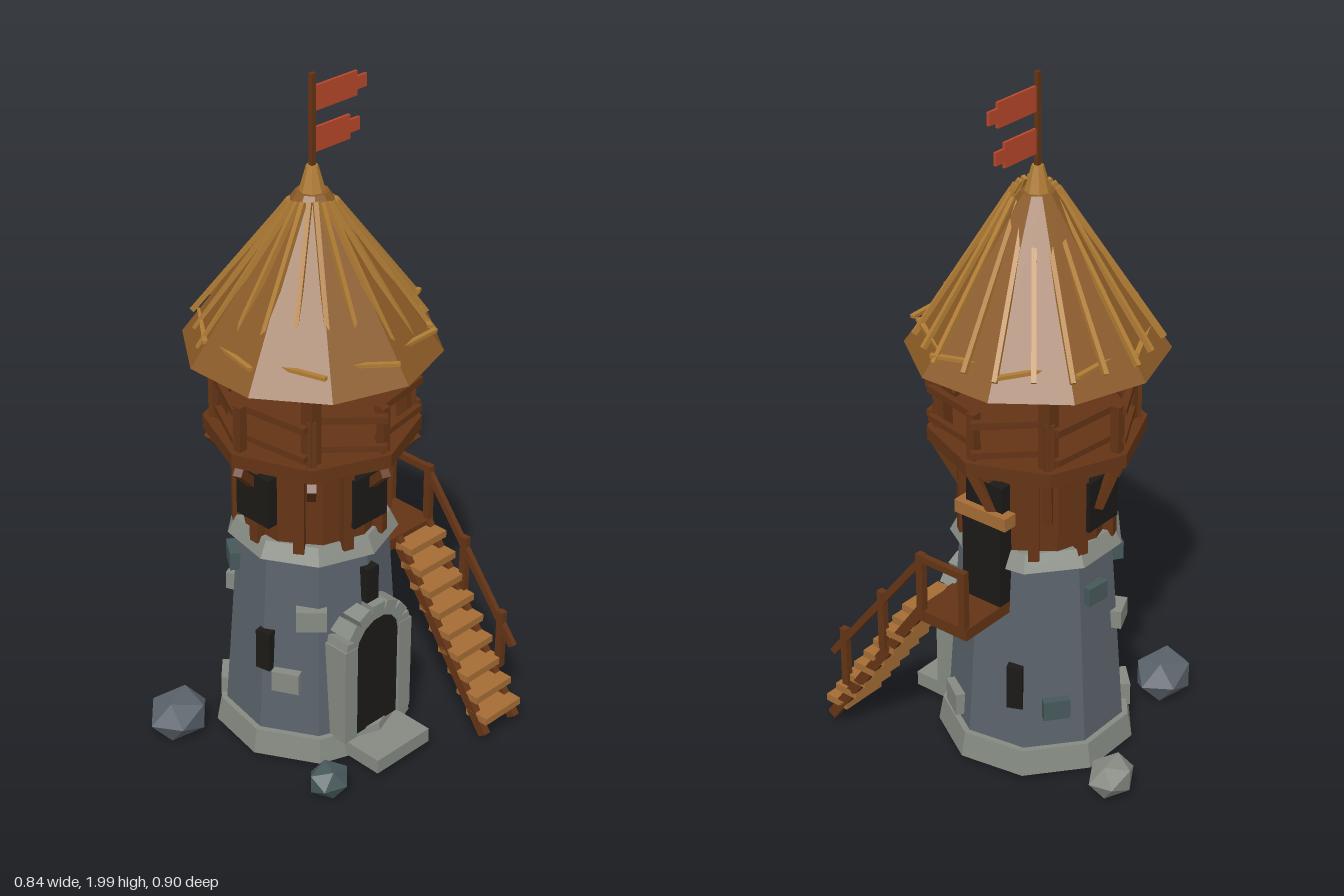
import * as THREE from 'three';

const V = (x, y, z) => new THREE.Vector3(x, y, z);
const rad = THREE.MathUtils.degToRad;
const mat = (color) => new THREE.MeshStandardMaterial({ color, flatShading: true });
const M = {
  stone: mat(0x5a626a), pale: mat(0x858a82), slate: mat(0x46585a), wood: mat(0x643415),
  plank: mat(0xa46c35), roof: mat(0x8a5a26), batten: mat(0xb07c34), dark: mat(0x1b1a17), flag: mat(0xb8472a),
};

function add(parent, name, geo, material, x = 0, y = 0, z = 0) {
  const m = new THREE.Mesh(geo, material);
  m.name = name;
  m.position.set(x, y, z);
  parent.add(m);
  return m;
}
const box = (p, name, material, w, h, d, x, y, z) => add(p, name, new THREE.BoxGeometry(w, h, d), material, x, y, z);
const drum = (p, name, material, rTop, rBottom, y0, y1, sides) =>
  add(p, name, new THREE.CylinderGeometry(rTop, rBottom, y1 - y0, sides), material, 0, (y0 + y1) / 2, 0);

// Square timber running from a to b
function beam(p, name, material, a, b, w, h = w) {
  const m = box(p, name, material, w, h, a.distanceTo(b), 0, 0, 0);
  m.position.copy(a).add(b).multiplyScalar(0.5);
  m.lookAt(b);
  return m;
}
// Point on a circle, angle in degrees from the front towards +x
const polar = (deg, r, y) => V(Math.sin(rad(deg)) * r, y, Math.cos(rad(deg)) * r);
// Box standing on a round wall and facing outward
function wallBox(p, name, material, deg, r, y, w, h, d) {
  const m = box(p, name, material, w, h, d, 0, 0, 0);
  m.position.copy(polar(deg, r, y));
  m.rotation.y = rad(deg);
  return m;
}
// Distance from axis to the nine-sided tapering wall
function wallRadius(deg, y) {
  const off = (deg % 40) - 20;
  return (0.255 - (y - 0.1) * 0.07) * Math.cos(rad(20)) / Math.cos(rad(off));
}

function stoneTower(t) {
  drum(t, 'plinth', M.pale, 0.272, 0.285, 0.03, 0.105, 9);
  drum(t, 'stoneWall', M.stone, 0.214, 0.255, 0.1, 0.69, 9);
  drum(t, 'stoneCollar', M.pale, 0.218, 0.243, 0.67, 0.717, 9);

  // Protruding wall stones: angle, height, width, height, material
  [[174, 0.56, 0.07, 0.055, M.slate], [235, 0.58, 0.08, 0.055, M.slate], [204, 0.43, 0.08, 0.055, M.pale],
    [225, 0.12, 0.09, 0.07, M.pale], [315, 0.49, 0.085, 0.065, M.pale], [141, 0.23, 0.075, 0.06, M.slate],
    [58, 0.16, 0.09, 0.068, M.pale], [298, 0.28, 0.08, 0.065, M.pale]].forEach(([a, y, w, h, m]) =>
    wallBox(t, 'wallStone', m, a, wallRadius(a, y) + 0.004, y, w, h, 0.04));

  // Narrow slit openings
  [[0, 0.565, 0.115], [114, 0.3, 0.135], [282, 0.37, 0.125]].forEach(([a, y, h]) =>
    wallBox(t, 'slit', M.dark, a, wallRadius(a, y), y, 0.045, h, 0.035));
}

function frontDoor(t) {
  const s = new THREE.Shape();
  s.moveTo(-0.09, 0.1);
  s.lineTo(0.09, 0.1);
  s.lineTo(0.09, 0.385);
  s.absarc(0, 0.385, 0.09, 0, Math.PI, false);
  s.lineTo(-0.09, 0.1);
  add(t, 'doorway', new THREE.ExtrudeGeometry(s, { depth: 0.08, bevelEnabled: false, curveSegments: 10 }), M.dark, 0, 0, 0.178);
  for (const x of [-1, 1]) box(t, 'doorJamb', M.pale, 0.048, 0.31, 0.1, x * 0.108, 0.255, 0.217);
  for (let i = 0; i < 7; i++) {
    const a = rad(12 + i * 26);
    const b = box(t, 'archStone', M.pale, 0.045, 0.046, 0.085, Math.cos(a) * 0.106, 0.385 + Math.sin(a) * 0.106, 0.222);
    b.rotation.z = a;
  }
  box(t, 'doorStep', M.pale, 0.21, 0.045, 0.15, 0, 0.06, 0.295);
}

function timberStorey(t) {
  drum(t, 'timberWall', M.wood, 0.205, 0.205, 0.7, 0.98, 10);
  for (let i = 0; i < 10; i++) wallBox(t, 'wallPost', M.wood, 18 + i * 36, 0.21, 0.84, 0.03, 0.28, 0.03);
  for (let a = 0; a < 360; a += 90) wallBox(t, 'window', M.dark, a, 0.205, 0.845, 0.125, 0.15, 0.045);

  // Gallery deck, braces, railing
  drum(t, 'deck', M.wood, 0.3, 0.3, 0.97, 1.01, 8);
  for (let a = 0; a < 360; a += 45) {
    beam(t, 'deckBrace', M.wood, polar(a, 0.2, 0.84), polar(a, 0.285, 0.975), 0.025);
    wallBox(t, 'railPost', M.wood, a, 0.268, 1.075, 0.026, 0.14, 0.026);
    for (const [y, w] of [[1.13, 0.02], [1.043, 0.018]])
      beam(t, 'rail', M.wood, polar(a, 0.272, y), polar(a + 45, 0.272, y), w);
  }
  for (const x of [-1, 1]) for (const z of [-1, 1]) box(t, 'roofPost', M.wood, 0.038, 0.28, 0.038, x * 0.181, 1.13, z * 0.181);
}

function roof(t) {
  drum(t, 'roofCone', M.roof, 0.045, 0.356, 1.24, 1.68, 10);
  for (let i = 0; i < 20; i++) {
    const k = i % 2 ? 0.955 : 1;
    beam(t, 'roofBatten', M.batten, polar(i * 18, 0.33 * k, 1.282), polar(i * 18, 0.06, 1.668), 0.013, 0.015);
  }
  // Thin band around the lower roof
  for (let i = 0; i < 10; i++)
    beam(t, 'roofBand', M.batten, polar(i * 36, 0.309, 1.307), polar(i * 36 + 36, 0.309, 1.307), 0.014, 0.01);
  drum(t, 'finial', M.batten, 0.016, 0.038, 1.67, 1.75, 8);

  box(t, 'flagPole', M.wood, 0.014, 0.28, 0.014, 0, 1.86, 0);
  for (const [y, len] of [[1.93, 0.15], [1.817, 0.125]]) {
    box(t, 'flag', M.flag, len, 0.068, 0.008, 0.01 + len / 2, y, 0);
    box(t, 'flagTip', M.flag, 0.04, 0.036, 0.008, 0.025 + len, y, 0);
  }
}

function sideStairs(g, t) {
  wallBox(t, 'sideDoor', M.dark, 90, 0.215, 0.68, 0.13, 0.25, 0.055);
  wallBox(t, 'sideLintel', M.plank, 90, 0.225, 0.825, 0.175, 0.038, 0.045);
  box(g, 'landing', M.wood, 0.195, 0.035, 0.175, 0.3125, 0.54, -0.005);

  for (const x of [0.266, 0.392]) beam(g, 'stringer', M.wood, V(x, 0.04, 0.437), V(x, 0.55, 0.075), 0.022, 0.03);
  for (let i = 0; i < 9; i++) box(g, 'tread', M.plank, 0.148, 0.022, 0.078, 0.329, 0.095 + i * 0.0545, 0.412 - i * 0.0385);

  // Railing along the outer side
  for (const z of [0.07, -0.078]) box(g, 'landingPost', M.wood, 0.02, 0.205, 0.022, 0.402, 0.63, z);
  box(g, 'landingRail', M.wood, 0.018, 0.02, 0.165, 0.402, 0.72, -0.004);
  for (const [y, z] of [[0.275, 0.366], [0.46, 0.217]]) box(g, 'stairPost', M.wood, 0.02, 0.19, 0.022, 0.402, y, z);
  beam(g, 'handrail', M.wood, V(0.402, 0.272, 0.413), V(0.402, 0.71, 0.07), 0.016, 0.02);
}

export function createModel() {
  const g = new THREE.Group();
  g.name = 'watchtower';
  const t = new THREE.Group();
  t.name = 'tower';
  t.position.set(0.025, 0, -0.027);
  g.add(t);

  stoneTower(t);
  frontDoor(t);
  timberStorey(t);
  roof(t);
  sideStairs(g, t);

  // Loose boulders around the base
  [[-0.325, 0.076, -0.222, 0.1, 0.076, 0.085, M.stone, 0.5], [-0.216, 0.062, 0.285, 0.066, 0.053, 0.06, M.slate, 1.2],
    [0.155, 0.07, -0.393, 0.078, 0.062, 0.065, M.pale, 0.2]].forEach(([x, y, z, sx, sy, sz, m, ry]) => {
    const geo = new THREE.IcosahedronGeometry(1, 0).rotateY(ry).scale(sx, sy, sz);
    add(g, 'boulder', geo, m, x, y, z);
  });
  return g;
}
